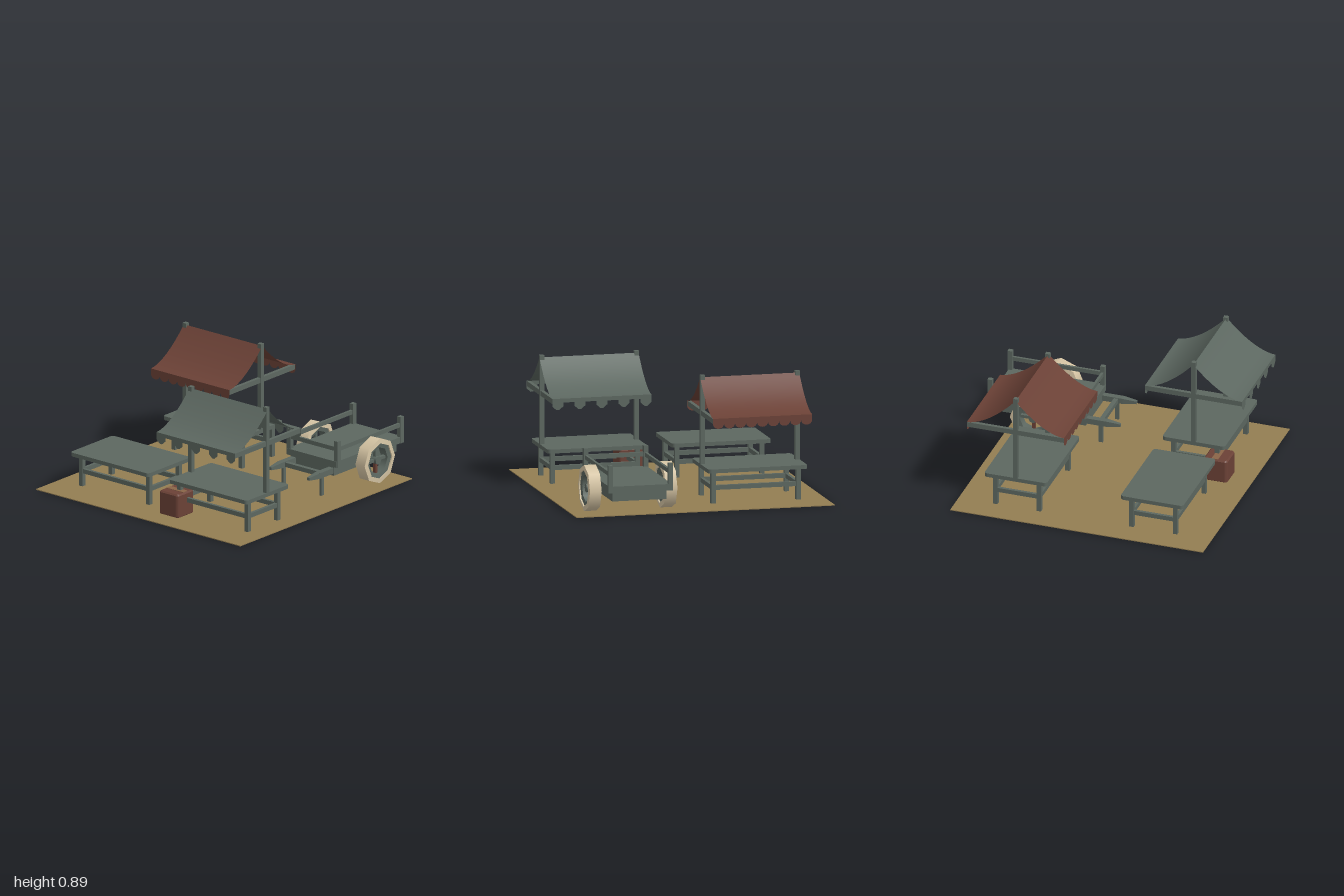
import * as THREE from 'three';

const mat = (name, color, side = THREE.FrontSide) => {
  const m = new THREE.MeshStandardMaterial({ color, side });
  m.name = name;
  return m;
};

export function createModel() {
  const wood = mat('grey green wood', 0x5c6760);
  const greenCloth = wood.clone();
  greenCloth.name = 'grey green cloth';
  greenCloth.side = THREE.DoubleSide;
  const red = mat('dark red', 0x6b4136, THREE.DoubleSide);
  const earth = mat('earth', 0x937d52);
  const tan = mat('pale tan', 0xd6c5a4, THREE.DoubleSide);
  const leather = mat('strap brown', 0x8a6548);

  const root = new THREE.Group();
  root.name = 'marketSquare';

  const add = (parent, name, geo, material, x = 0, y = 0, z = 0) => {
    const m = new THREE.Mesh(geo, material);
    m.name = name;
    m.position.set(x, y, z);
    parent.add(m);
    return m;
  };
  // box given by its lower and upper limits
  const box = (parent, name, material, x0, x1, y0, y1, z0, z1) =>
    add(parent, name, new THREE.BoxGeometry(x1 - x0, y1 - y0, z1 - z0), material,
      (x0 + x1) / 2, (y0 + y1) / 2, (z0 + z1) / 2);
  const group = (name, x, z) => {
    const g = new THREE.Group();
    g.name = name;
    g.position.set(x, 0, z);
    root.add(g);
    return g;
  };
  // rectangle with rounded corners
  const roundedRect = (w, d, r) => {
    const s = new THREE.Shape();
    [[1, 1, 0], [-1, 1, 1], [-1, -1, 2], [1, -1, 3]].forEach(([sx, sy, q]) =>
      s.absarc(sx * (w / 2 - r), sy * (d / 2 - r), r, q * Math.PI / 2, (q + 1) * Math.PI / 2, false));
    s.closePath();
    return s;
  };

  box(root, 'ground', earth, -1, 0.857, 0, 0.006, -0.93, 0.925);

  // table: rounded top, four legs and four stretchers
  function addTable(g) {
    const top = new THREE.ExtrudeGeometry(roundedRect(0.46, 0.712, 0.025),
      { depth: 0.028, bevelEnabled: false, curveSegments: 5 });
    top.rotateX(-Math.PI / 2);
    add(g, 'tableTop', top, wood, 0, 0.23, 0);
    for (const sx of [-1, 1]) {
      for (const sz of [-1, 1])
        add(g, 'tableLeg', new THREE.BoxGeometry(0.032, 0.231, 0.032), wood, sx * 0.16, 0.1145, sz * 0.305);
      add(g, 'longStretcher', new THREE.BoxGeometry(0.022, 0.032, 0.58), wood, sx * 0.16, 0.117, 0);
      add(g, 'endStretcher', new THREE.BoxGeometry(0.29, 0.032, 0.022), wood, 0, 0.117, sx * 0.305);
    }
  }

  // hanging cloth edge made of nine cells; "step" skips cells between the flaps
  function valance(base, tip, step, round) {
    const L = 0.712, c = L / 9;
    const s = new THREE.Shape();
    s.moveTo(-L / 2, 0.64);
    s.lineTo(-L / 2, base);
    for (let i = 0; i < 9; i++) {
      const a = -L / 2 + i * c;
      if (i % step === 0) {
        if (round) {
          for (let k = 1; k < 8; k++)
            s.lineTo(a + c * (1 - Math.cos(k * Math.PI / 8)) / 2, base - (base - tip) * Math.sin(k * Math.PI / 8));
        } else {
          const mid = base - (base - tip) * 0.5;
          s.lineTo(a, mid);
          s.lineTo(a + c * 0.38, tip);
          s.lineTo(a + c * 0.62, tip);
          s.lineTo(a + c, mid);
        }
      }
      s.lineTo(a + c, base);
    }
    s.lineTo(L / 2, 0.64);
    return new THREE.ShapeGeometry(s).rotateY(Math.PI / 2);
  }

  // stall: table, two posts with cross bars, sagging cloth roof
  function addStall(name, x, z, cloth, makeValance) {
    const g = group(name, x, z);
    addTable(g);
    for (const s of [-1, 1]) {
      box(g, 'roofPost', wood, -0.016, 0.016, 0.235, 0.886, s * 0.34 - 0.016, s * 0.34 + 0.016);
      box(g, 'crossBar', wood, -0.355, 0.355, 0.602, 0.638, s * 0.34 - 0.013, s * 0.34 + 0.013);
      const sheet = new THREE.PlaneGeometry(1, 0.712, 12, 1).rotateX(-Math.PI / 2);
      const p = sheet.attributes.position;
      for (let i = 0; i < p.count; i++) {
        const t = p.getX(i) + 0.5;
        p.setXYZ(i, t * 0.357, 0.64 + 0.23 * Math.pow(1 - t, 1.7), p.getZ(i));
      }
      sheet.computeVertexNormals();
      const side = new THREE.Group();
      side.name = 'roofSide';
      side.rotation.y = s > 0 ? 0 : Math.PI;
      g.add(side);
      add(side, 'roofCloth', sheet, cloth);
      add(side, 'valance', makeValance(), cloth, 0.357, 0, 0);
    }
  }

  addStall('redStall', 0.428, -0.43, red, () => valance(0.602, 0.568, 1, true));
  addStall('greenStall', -0.573, 0.463, greenCloth, () => valance(0.612, 0.56, 2, false));
  addTable(group('plainTable', -0.573, -0.43));

  // chest with a thin strap over the lid
  const chest = group('chest', -0.752, 0.138);
  const body = new THREE.ExtrudeGeometry(roundedRect(0.155, 0.155, 0.012),
    { depth: 0.155, bevelEnabled: true, bevelSize: 0.01, bevelThickness: 0.01, bevelSegments: 1, curveSegments: 2 });
  add(chest, 'chestBody', body.rotateX(-Math.PI / 2), red, 0, 0.01, 0);
  box(chest, 'chestStrap', leather, -0.018, 0.03, 0.173, 0.178, -0.077, 0.077);

  // hand cart
  const cart = group('cart', 0, 0.5);
  box(cart, 'cartBed', wood, 0.28, 0.99, 0.19, 0.235, -0.225, 0.225);
  box(cart, 'underFrame', wood, 0.285, 0.96, 0.125, 0.19, -0.195, 0.195);
  for (const s of [-1, 1]) {
    for (const x of [0.3, 0.98])
      box(cart, 'cornerPost', wood, x - 0.017, x + 0.017, 0.19, 0.383, s * 0.215 - 0.016, s * 0.215 + 0.016);
    box(cart, 'sideRail', wood, 0.3, 0.98, 0.307, 0.337, s * 0.215 - 0.009, s * 0.215 + 0.009);
    // handle with a tapered tip
    box(cart, 'handle', wood, 0.135, 0.3, 0.142, 0.183, s * 0.172 - 0.022, s * 0.172 + 0.022);
    const grip = new THREE.BoxGeometry(0.1, 0.041, 0.044);
    const p = grip.attributes.position;
    for (let i = 0; i < p.count; i++)
      if (p.getX(i) < 0) p.setXYZ(i, p.getX(i), p.getY(i) * 0.5, p.getZ(i) * 0.5);
    grip.computeVertexNormals();
    add(cart, 'handleTip', grip, wood, 0.087, 0.1625, s * 0.172);
    box(cart, 'propLeg', wood, 0.166, 0.196, 0, 0.15, s * 0.172 - 0.009, s * 0.172 + 0.009);
  }
  box(cart, 'endRail', wood, 0.291, 0.309, 0.307, 0.337, -0.215, 0.215);
  box(cart, 'handleBar', wood, 0.166, 0.198, 0.146, 0.178, -0.16, 0.16);
  add(cart, 'axle', new THREE.CylinderGeometry(0.016, 0.016, 0.6, 8).rotateX(Math.PI / 2), wood, 0.64, 0.167, 0);

  // eight-sided wheels, each ring made of bands so its edges stay sharp
  function ring(parent, name, material, profile) {
    profile.forEach((a, i) => {
      const b = profile[(i + 1) % profile.length];
      const band = new THREE.LatheGeometry([new THREE.Vector2(...a), new THREE.Vector2(...b)], 8);
      add(parent, name, band.rotateX(Math.PI / 2), material);
    });
  }
  for (const s of [-1, 1]) {
    const wheel = new THREE.Group();
    wheel.name = 'wheel';
    wheel.position.set(0.64, 0.167, s * 0.272);
    cart.add(wheel);
    ring(wheel, 'tyre', tan, [[0.13, -0.046], [0.164, -0.042], [0.164, 0.042], [0.13, 0.046]]);
    ring(wheel, 'innerRim', greenCloth, [[0.098, -0.03], [0.13, -0.036], [0.13, 0.036], [0.098, 0.03]]);
    add(wheel, 'hub', new THREE.CylinderGeometry(0.03, 0.03, 0.06, 8).rotateX(Math.PI / 2), wood);
    for (let i = 0; i < 4; i++) {
      const a = i * Math.PI / 2;
      const spoke = add(wheel, 'spoke', new THREE.BoxGeometry(0.022, 0.085, 0.024), i === 2 ? red : wood,
        Math.sin(a) * 0.065, Math.cos(a) * 0.065, 0);
      spoke.rotation.z = -a;
    }
  }
  return root;
}
